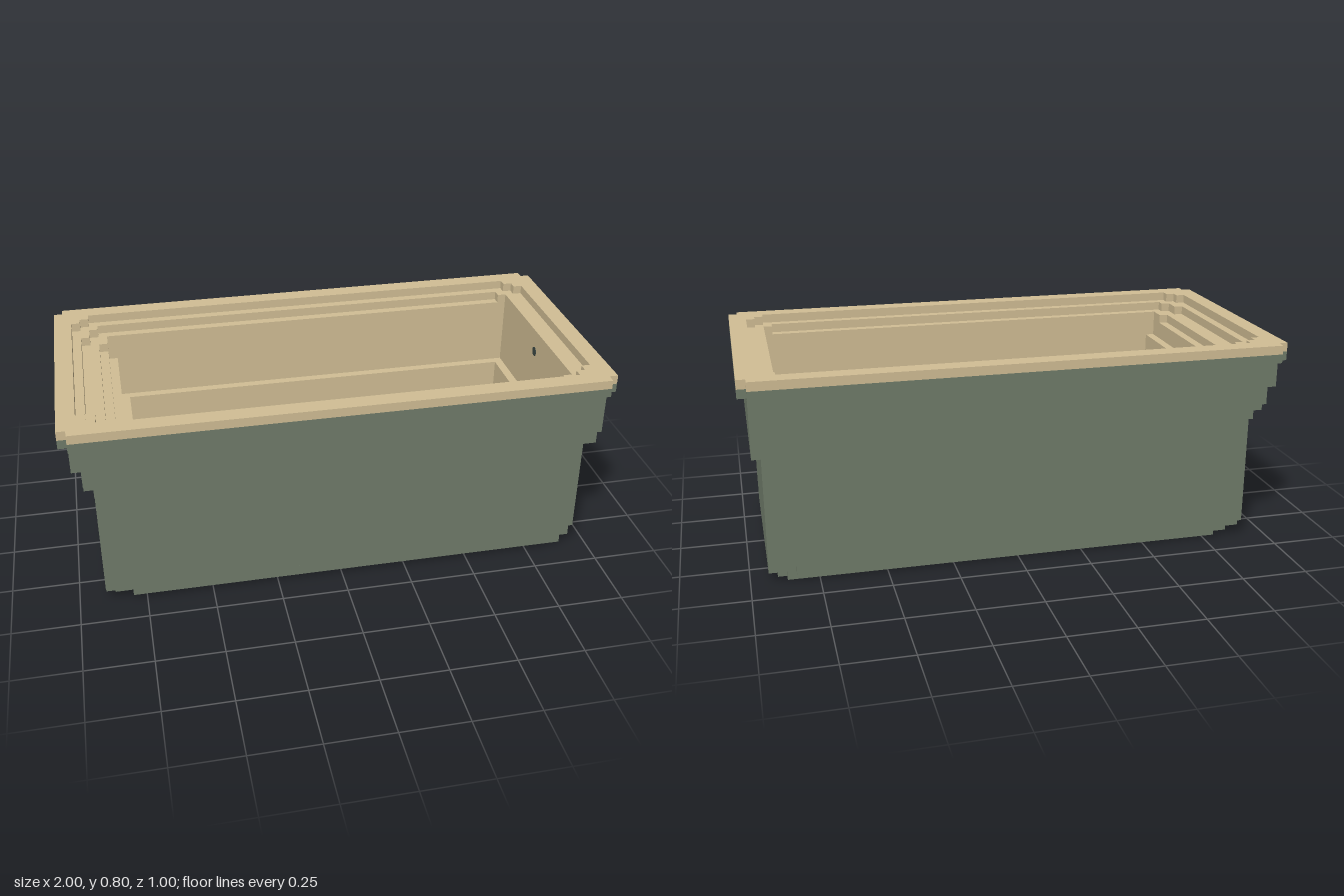
import * as THREE from 'three';

const U = 1 / 30; // one block; all sizes below are in blocks

export function createModel() {
  const group = new THREE.Group();
  const mat = (name, color) => {
    const m = new THREE.MeshStandardMaterial({ color });
    m.name = name;
    return m;
  };
  const green = mat('outer green', 0x707c6a);
  const tan = mat('inner tan', 0xd1be95);
  const dark = mat('drain dark', 0x3c4844);

  // A quadrant is a staircase of [x, z] corners, widest x first.
  const quads = (left, right, frontRight = right, backRight = right) => [
    [frontRight, 1, 1], [left, -1, 1], [left, -1, -1], [backRight, 1, -1],
  ];
  // Counter-clockwise outline of the four quadrants
  const contour = (qs, inset = 0) => {
    const pts = [];
    qs.forEach(([steps, sx, sz], k) => {
      const q = [];
      steps.forEach(([x, z], i) => {
        if (i) q.push([sx * (x - inset), sz * (steps[i - 1][1] - inset)]);
        q.push([sx * (x - inset), sz * (z - inset)]);
      });
      if (k % 2) q.reverse();
      q.forEach(([x, z]) => pts.push(new THREE.Vector2(x * U, -z * U)));
    });
    return pts.reverse();
  };
  const slab = (name, material, y0, y1, outer, hole) => {
    const shape = new THREE.Shape(outer);
    if (hole) shape.holes.push(new THREE.Path(hole));
    const geo = new THREE.ExtrudeGeometry(shape, { depth: (y1 - y0) * U, bevelEnabled: false });
    geo.rotateX(-Math.PI / 2);
    geo.translate(0, y0 * U, 0);
    const mesh = new THREE.Mesh(geo, material);
    mesh.name = name;
    group.add(mesh);
  };
  const box = (l, r, z) => quads([[l, z]], [[r, z]]);

  // Base with chipped corners
  slab('foot', green, 0, 1, contour(quads([[26, 10], [24, 11]], [[27, 11]], [[27, 11]], [[27, 10], [26, 11]])));
  slab('base', green, 1, 2, contour(quads([[27, 11], [24, 12]], [[28, 11], [25, 12]])));

  // Basin cavity at each height
  const deep = box(22, 25, 10);
  const middle = box(23, 26, 11);
  const upper = box(24, 26, 11);
  const seat = quads([[25, 9], [24, 11]], [[26, 11]]);
  const rim = quads([[27, 9], [26, 11], [25, 12]], [[26, 11], [25, 12]]);
  const lipOpening = quads([[28, 11], [27, 12], [26, 13]], [[28, 11], [27, 12], [26, 13]]);
  const lip = quads([[30, 14], [29, 15]], [[30, 14], [29, 15]]);

  // Wall layers: bottom, top, outer outline, cavity, green skin thickness
  const layers = [
    [2, 3, quads([[27, 12]], [[28, 12]], [[28, 11], [27, 12]]), deep, 1],
    [3, 14, box(27, 28, 12), deep, 1],
    [14, 15, box(27, 28, 12), middle, 0.5],
    [15, 16, box(27, 29, 13), middle, 1],
    [16, 17, box(28, 29, 13), middle, 1],
    [17, 19, box(28, 29, 14), middle, 1],
    [19, 21, box(29, 29, 14), upper, 1],
    [21, 22, box(29, 29, 14), seat, 1],
    [22, 23, lip, rim, 1],
  ];
  for (const [y0, y1, outer, cavity, skin] of layers) {
    slab('outerWall', green, y0, y1, contour(outer), contour(outer, skin));
    slab('innerWall', tan, y0, y1, contour(outer, skin), contour(cavity));
  }
  slab('lip', tan, 23, 24, contour(lip), contour(lipOpening));
  slab('basinFloor', tan, 2, 2.1, contour(deep));

  // Overflow drain, nearly flush with the end wall
  const drain = new THREE.Mesh(new THREE.CylinderGeometry(0.018, 0.018, 0.004, 12), dark);
  drain.name = 'overflowDrain';
  drain.rotation.z = Math.PI / 2;
  drain.position.set(26 * U, 0.68, 0);
  group.add(drain);

  return group;
}
